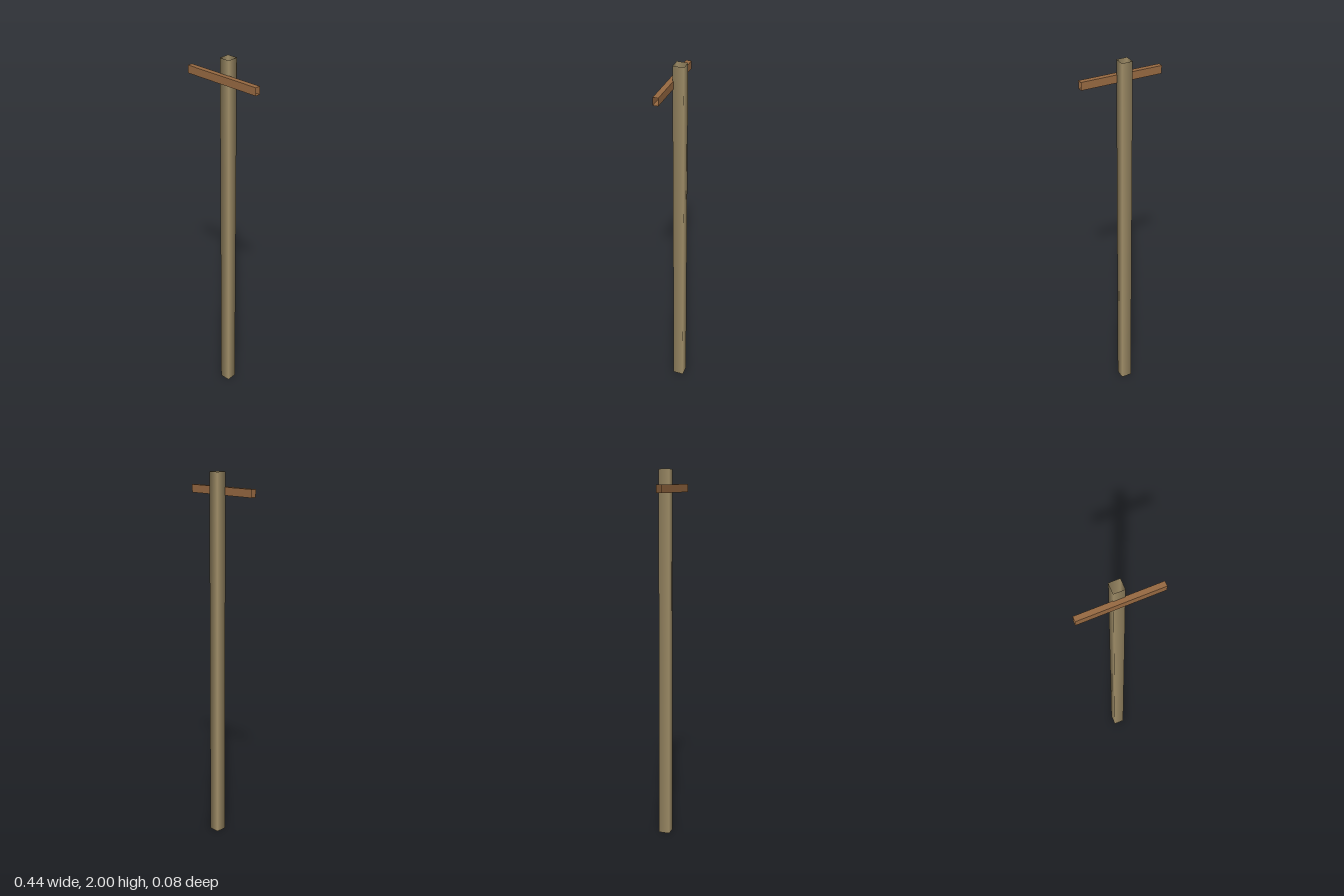
import * as THREE from 'three';

// Four-sided tube with open ends, running along y
function openBeam(width, length, depth) {
  const geometry = new THREE.CylinderGeometry(Math.SQRT1_2, Math.SQRT1_2, 1, 4, 1, true);
  geometry.rotateY(Math.PI / 4);
  geometry.scale(width, length, depth);
  return geometry;
}

export function createModel() {
  const group = new THREE.Group();
  group.name = 'utilityPole';

  const poleWood = new THREE.MeshStandardMaterial({ color: 0xa08e68, side: THREE.DoubleSide });
  poleWood.name = 'weathered wood';
  const armWood = new THREE.MeshStandardMaterial({ color: 0x986a42, side: THREE.DoubleSide, flatShading: true });
  armWood.name = 'brown wood';

  // Upright post, softly shaded across its corners
  const pole = new THREE.Mesh(openBeam(0.058, 2, 0.058), poleWood);
  pole.name = 'pole';
  pole.position.set(0, 1, -0.012);
  group.add(pole);

  // Crossarm fixed to the front of the post
  const arm = new THREE.Mesh(openBeam(0.042, 0.444, 0.028).rotateZ(Math.PI / 2), armWood);
  arm.name = 'crossarm';
  arm.position.set(0, 1.9, 0.027);
  group.add(arm);

  return group;
}
